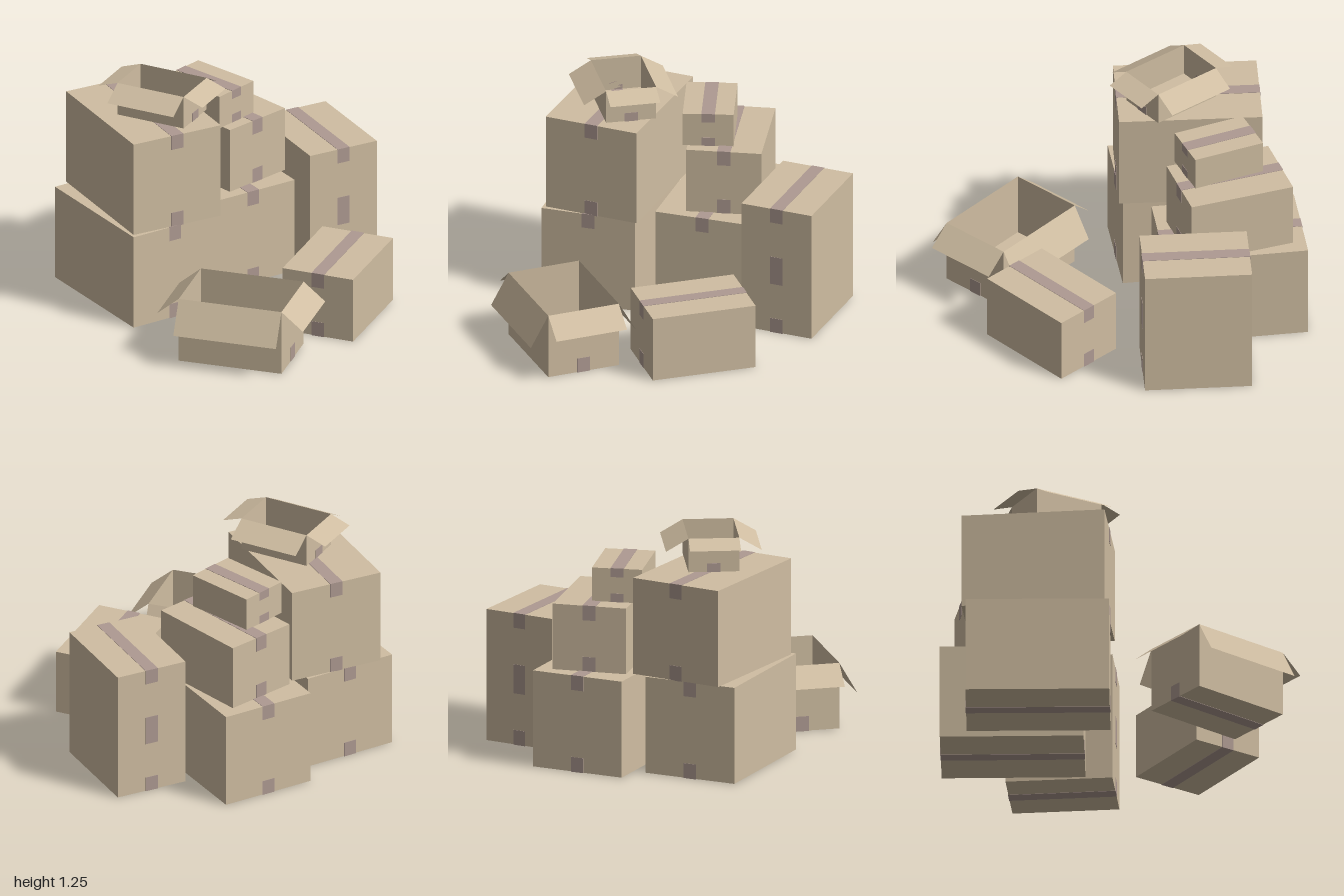
import * as THREE from 'three';

const card = new THREE.MeshStandardMaterial({ color: 0xd0bea2, side: THREE.DoubleSide });
card.name = 'cardboard';
const tapeMat = new THREE.MeshStandardMaterial({ color: 0xae9a92 });
tapeMat.name = 'packing tape';

const TAPE = 0.072, THICK = 0.002;

// Carton sizes: width (taped direction), height, depth, tape overhang,
// and [outward, downward] reach of the long and end flaps
const LARGE = { w: 0.766, h: 0.53, d: 0.525, stub: 0.08 };
const MEDIUM = { w: 0.572, h: 0.362, d: 0.404, stub: 0.08, long: [0.1, 0.173], end: [0.12, 0.1] };
const SMALL = { w: 0.394, h: 0.185, d: 0.272, stub: 0.047, long: [0.12, 0.07], end: [0.113, 0.04] };

function add(group, name, geometry, material, x = 0, y = 0, z = 0) {
  const mesh = new THREE.Mesh(geometry, material);
  mesh.name = name;
  mesh.position.set(x, y, z);
  group.add(mesh);
  return mesh;
}

// Tape along the middle of the top or bottom, folded down over both ends
function addTape(group, { w, h, stub }, top) {
  const y = top ? h + THICK / 2 : -THICK / 2;
  add(group, 'tapeStrip', new THREE.BoxGeometry(w + 2 * THICK, THICK, TAPE), tapeMat, 0, y, 0);
  for (const side of [-1, 1]) {
    add(group, 'tapeEnd', new THREE.BoxGeometry(THICK, stub, TAPE), tapeMat,
      side * (w + THICK) / 2, top ? h - stub / 2 : stub / 2, 0);
  }
}

function closedCarton(size) {
  const g = new THREE.Group();
  add(g, 'carton', new THREE.BoxGeometry(size.w, size.h, size.d), card, 0, size.h / 2, 0);
  addTape(g, size, true);
  addTape(g, size, false);
  return g;
}

function openCarton(size) {
  const { w, h, d } = size;
  const g = new THREE.Group();
  add(g, 'floor', new THREE.PlaneGeometry(w, d).rotateX(-Math.PI / 2), card);
  // Four walls, each with a flap hanging outward from its rim
  for (let i = 0; i < 4; i++) {
    const isEnd = i % 2 === 1;
    const width = isEnd ? d : w;
    const [out, drop] = isEnd ? size.end : size.long;
    const length = Math.hypot(out, drop);
    const side = new THREE.Group();
    side.name = 'side';
    side.rotation.y = i * Math.PI / 2;
    const offset = (isEnd ? w : d) / 2;
    add(side, 'wall', new THREE.PlaneGeometry(width, h), card, 0, h / 2, offset);
    const flap = new THREE.PlaneGeometry(width, length)
      .translate(0, -length / 2, 0).rotateX(-Math.atan2(out, drop));
    add(side, 'flap', flap, card, 0, h, offset);
    g.add(side);
  }
  addTape(g, size, false);
  return g;
}

export function createModel() {
  const model = new THREE.Group();
  model.name = 'cartonPile';
  // name, maker, size, x, y, z, turn in degrees
  const layout = [
    ['largeFrontCarton', closedCarton, LARGE, -0.43, 0, 0.208, -30],
    ['largeUpperCarton', closedCarton, LARGE, -0.405, 0.53, 0.165, -35.2],
    ['largeBackCarton', closedCarton, LARGE, -0.257, 0, -0.377, -30.4],
    ['mediumUpperCarton', closedCarton, MEDIUM, -0.235, 0.53, -0.405, -19.5],
    ['smallTopCarton', closedCarton, SMALL, -0.248, 0.892, -0.295, -15],
    ['stackLowerCarton', closedCarton, MEDIUM, 0.212, 0, -0.672, -34.6],
    ['stackUpperCarton', closedCarton, MEDIUM, 0.212, 0.362, -0.672, -34.6],
    ['mediumSideCarton', closedCarton, MEDIUM, 0.666, 0, -0.01, -85],
    ['openFrontCarton', openCarton, MEDIUM, 0.42, 0, 0.643, 9.8],
    ['openTopCarton', openCarton, SMALL, -0.293, 1.063, 0.167, 0],
  ];
  for (const [name, make, size, x, y, z, turn] of layout) {
    const carton = make(size);
    carton.name = name;
    carton.position.set(x, y, z);
    carton.rotation.y = THREE.MathUtils.degToRad(turn);
    model.add(carton);
  }
  return model;
}
